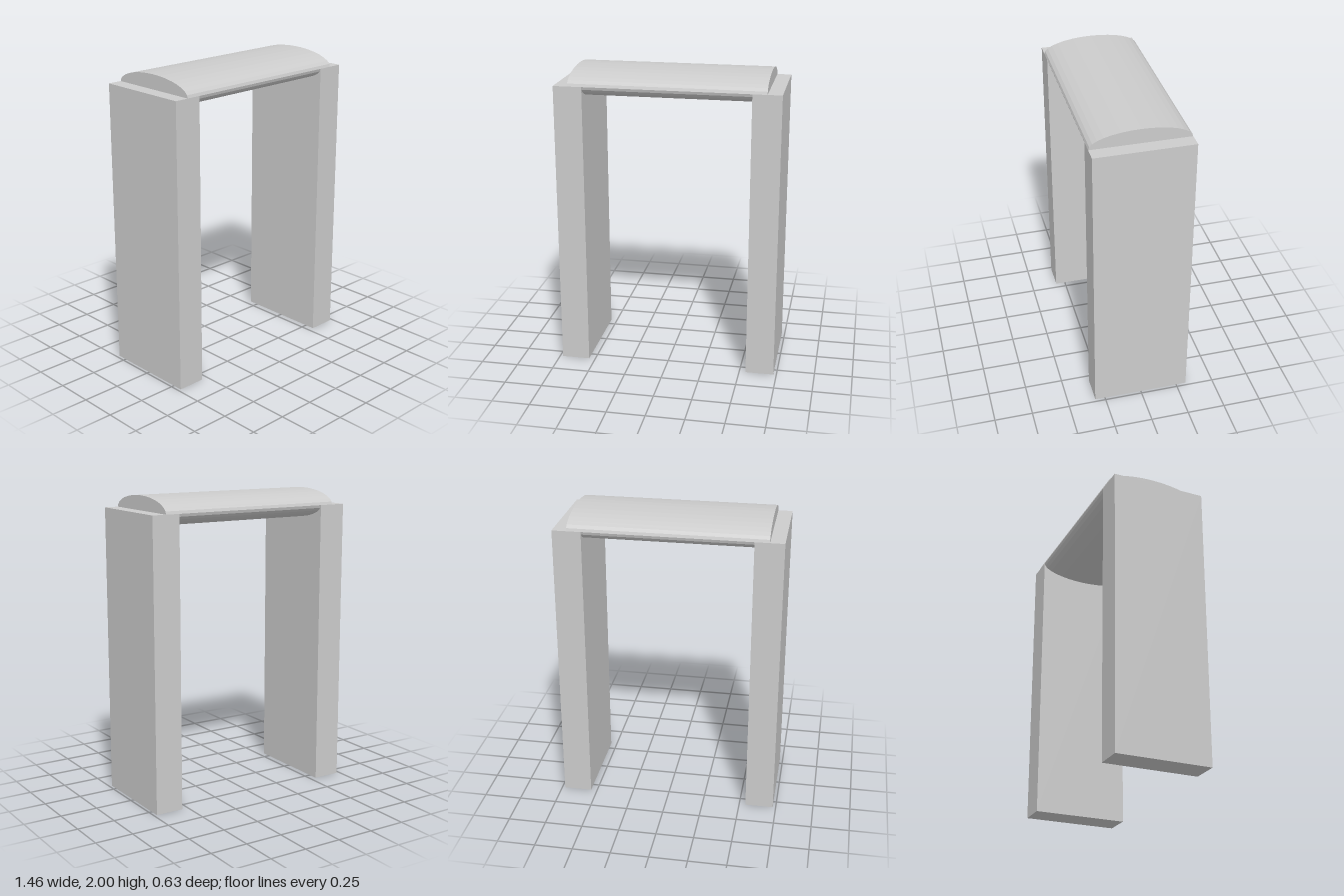
import * as THREE from 'three';

export function createModel() {
  const model = new THREE.Group();
  const material = new THREE.MeshStandardMaterial({ color: 0xcccccc, flatShading: true });

  const postHeight = 1.905, postWidth = 0.187, depth = 0.634;
  const postCentre = 0.636; // also where the beam ends, halfway through each post

  // Two upright slab posts
  for (const [name, side] of [['leftPost', 1], ['rightPost', -1]]) {
    const post = new THREE.Mesh(new THREE.BoxGeometry(postWidth, postHeight, depth), material);
    post.name = name;
    post.position.set(side * postCentre, postHeight / 2, 0);
    model.add(post);
  }

  // Flattened round beam, sunk halfway into the post tops
  const beamGeometry = new THREE.CylinderGeometry(1, 1, 2 * postCentre, 32);
  beamGeometry.rotateZ(Math.PI / 2);
  beamGeometry.scale(1, 2 - postHeight, depth / 2);
  const beam = new THREE.Mesh(beamGeometry, material);
  beam.name = 'crossBeam';
  beam.position.y = postHeight;
  model.add(beam);

  return model;
}
